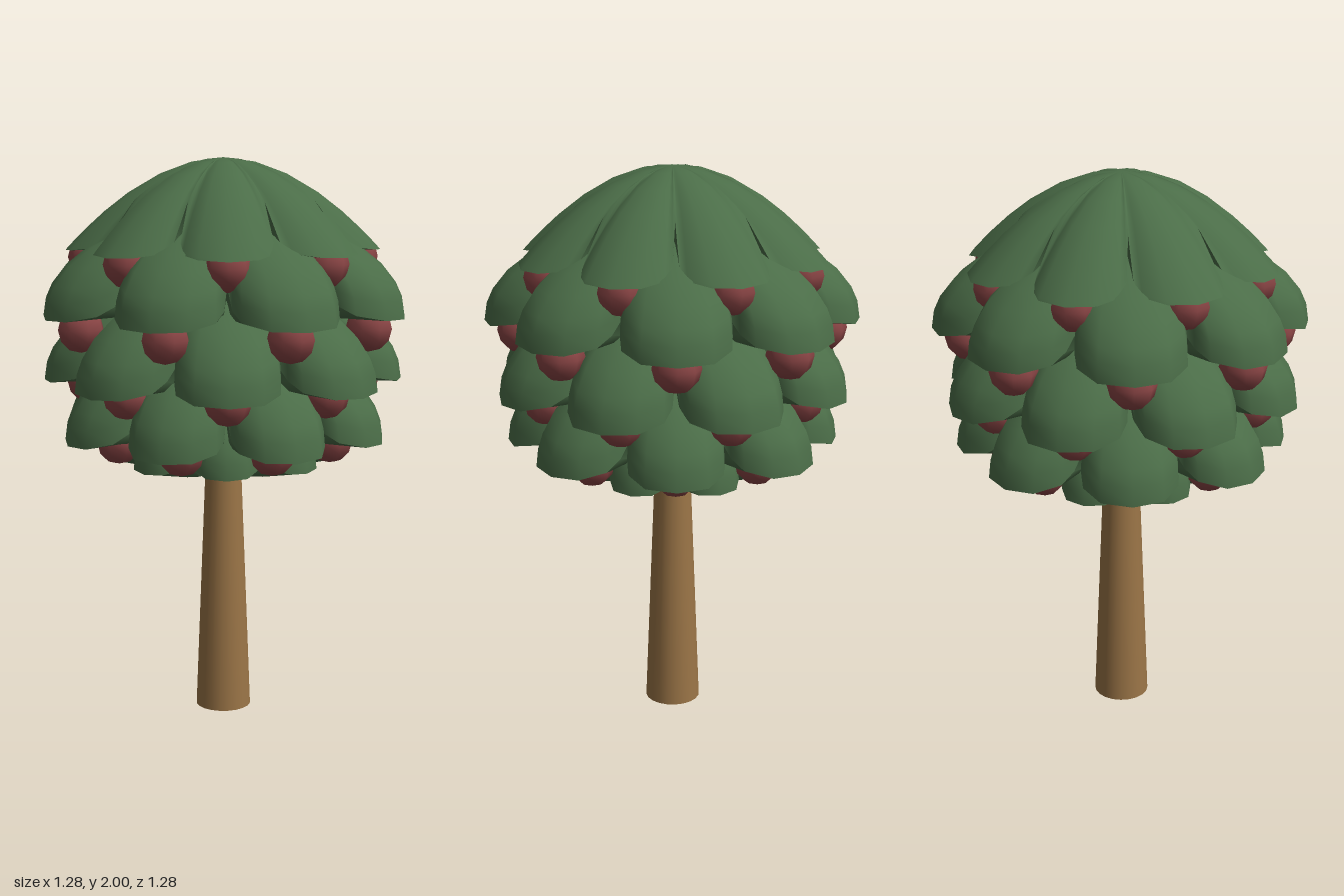
import * as THREE from 'three';

const leaf = new THREE.MeshStandardMaterial({ color: 0x4b6d48 });
leaf.name = 'leafGreen';
const fruit = new THREE.MeshStandardMaterial({ color: 0x8c4646 });
fruit.name = 'berryRed';
const bark = new THREE.MeshStandardMaterial({ color: 0x9b7547, side: THREE.DoubleSide });
bark.name = 'barkBrown';

const LOBES = 8;
const STEP = (Math.PI * 2) / LOBES;

// Half outline of one lobe: [degrees from lobe centre, radius factor, drop on flat dome, drop on steep dome]
const HALF = [
  [0, 1, 1, 1],
  [10.5, 0.97, 0.985, 0.985],
  [18.2, 0.86, 0.95, 0.93],
  [21, 0.77, 0.84, 0.84],
  [22.5, 0.6, 0.44, 0.65],
];

// Full scalloped rim, repeated around the tree
function rimPoints(turn, flat) {
  const lobe = [...HALF.slice(1).reverse().map(([a, r, f, s]) => [-a, r, f, s]), ...HALF.slice(0, -1)];
  const rim = [];
  for (let i = 0; i < LOBES; i++) {
    for (const [deg, r, f, s] of lobe) {
      rim.push({ a: i * STEP + turn + THREE.MathUtils.degToRad(deg), r, d: flat ? f : s });
    }
  }
  return rim;
}

// Surface made of rings around the axis, closed with a point at its centre
function ringSurface(rim, rings, centreY, place, up) {
  const pos = [0, centreY, 0];
  const index = [];
  const n = rim.length;
  const tri = (a, b, c) => (up ? index.push(a, b, c) : index.push(a, c, b));
  rings.forEach((s, k) => {
    rim.forEach((p, i) => {
      const [r, y] = place(p, s);
      pos.push(Math.sin(p.a) * r, y, Math.cos(p.a) * r);
      const j = (i + 1) % n;
      const here = 1 + k * n;
      if (k === 0) {
        tri(0, here + i, here + j);
      } else {
        tri(here - n + i, here + i, here + j);
        tri(here - n + i, here + j, here - n + j);
      }
    });
  });
  const g = new THREE.BufferGeometry();
  g.setAttribute('position', new THREE.Float32BufferAttribute(pos, 3));
  g.setIndex(index);
  g.computeVertexNormals();
  return g;
}

function leafTier({ name, radius, rimY, height, base, turn, flat }) {
  const group = new THREE.Group();
  group.name = name;
  const rim = rimPoints(turn, flat);
  const top = rimY + height;
  const drop = (s) => (flat ? s ** 1.9 : 1 - Math.sqrt(1 - s * s));
  const rimHeight = (p) => top - height * p.d;

  // Domed upper side
  const upper = ringSurface(rim, [0.2, 0.4, 0.6, 0.75, 0.87, 0.95, 0.985, 1], top,
    (p, s) => [radius * p.r * s, top - height * p.d * drop(s)], true);
  // Closed underside
  const under = ringSurface(rim, [0.6, 1], base,
    (p, s) => [radius * p.r * s, s === 1 ? rimHeight(p) : base], false);

  [['leafTop', upper], ['leafUnderside', under]].forEach(([label, g]) => {
    const mesh = new THREE.Mesh(g, leaf);
    mesh.name = label;
    group.add(mesh);
  });
  return group;
}

// One berry tucked under each lobe of a tier
function berryRing(name, radius, y, turn) {
  const group = new THREE.Group();
  group.name = name;
  const g = new THREE.SphereGeometry(0.082, 8, 6);
  for (let i = 0; i < LOBES; i++) {
    const a = i * STEP + turn;
    const berry = new THREE.Mesh(g, fruit);
    berry.name = 'berry';
    berry.position.set(Math.sin(a) * radius, y, Math.cos(a) * radius);
    berry.rotation.y = a;
    group.add(berry);
  }
  return group;
}

export function createModel() {
  const tree = new THREE.Group();
  tree.name = 'tree';

  // Tapered open trunk
  const trunk = new THREE.Mesh(new THREE.CylinderGeometry(0.063, 0.1, 0.95, 20, 1, true), bark);
  trunk.name = 'trunk';
  trunk.position.y = 0.475;
  tree.add(trunk);

  // Leaf tiers from the crown down, alternately turned by half a lobe
  const half = STEP / 2;
  [
    { radius: 0.555, rimY: 1.68, height: 0.32, base: 1.69, turn: 0, flat: true, berry: [0.465, 1.655] },
    { radius: 0.66, rimY: 1.46, height: 0.36, base: 1.47, turn: half, berry: [0.535, 1.425] },
    { radius: 0.638, rimY: 1.22, height: 0.37, base: 1.23, turn: 0, berry: [0.475, 1.215] },
    { radius: 0.59, rimY: 1.02, height: 0.37, base: 1.03, turn: half, berry: [0.4, 1.025] },
    { radius: 0.398, rimY: 0.93, height: 0.3, base: 0.9, turn: 0 },
  ].forEach((t, i) => {
    tree.add(leafTier({ ...t, name: `leafTier${i + 1}` }));
    if (t.berry) tree.add(berryRing(`berryRing${i + 1}`, t.berry[0], t.berry[1], t.turn));
  });

  return tree;
}
